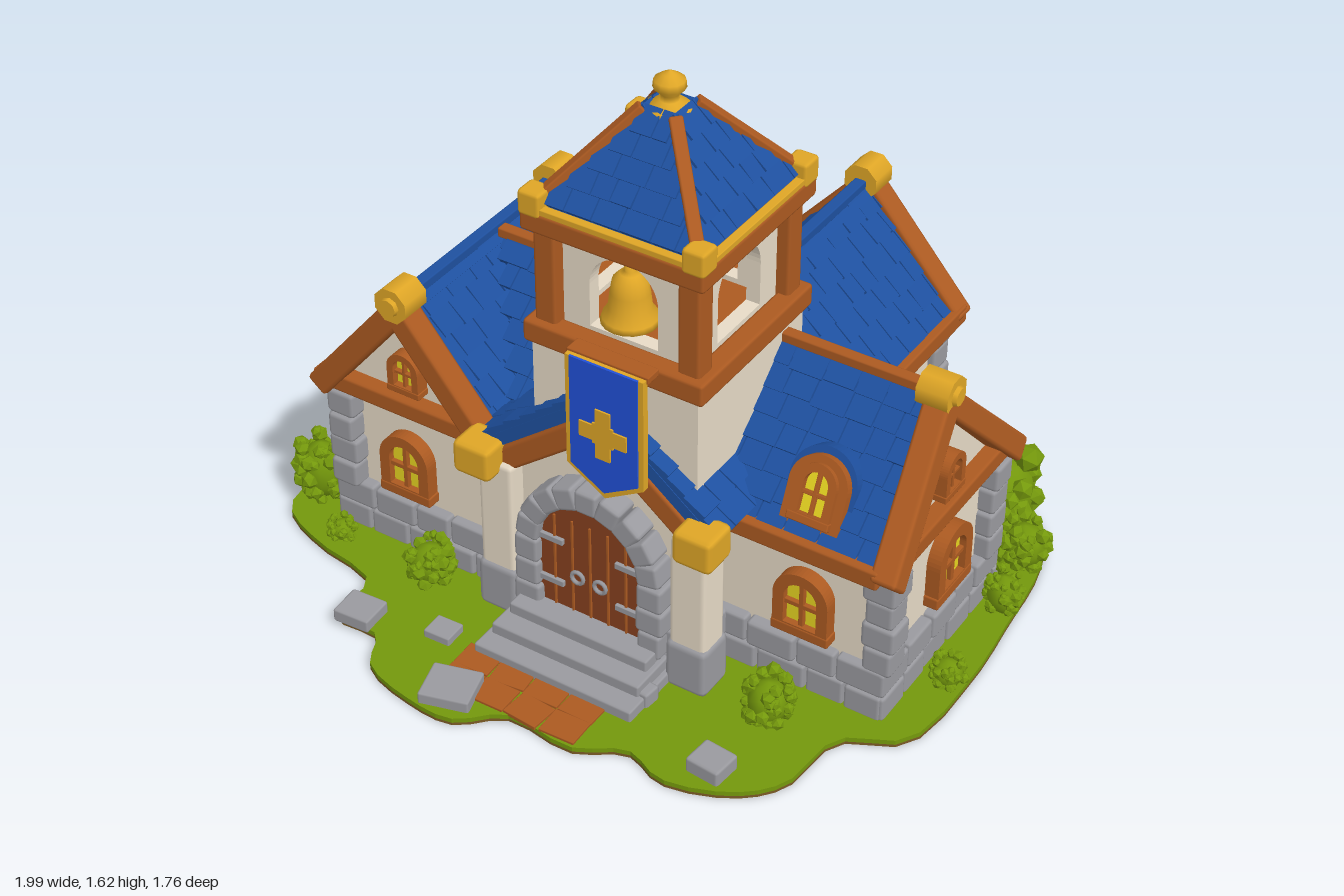
import * as THREE from 'three';
import { mergeGeometries } from 'three/addons/utils/BufferGeometryUtils.js';
import { RoundedBoxGeometry } from 'three/addons/geometries/RoundedBoxGeometry.js';

const M = {};
const colours = {
  roofBlue: 0x1e509f, plaster: 0xf2e5d0, stone: 0x9a9a9f, timber: 0xac5a21, gold: 0xdfa626,
  leaf: 0x74980c, earth: 0x7a5a25, doorWood: 0x87411e, bannerBlue: 0x2151d8, glass: 0xeedb22,
};
for (const [name, color] of Object.entries(colours)) {
  M[name] = new THREE.MeshStandardMaterial({ color });
  M[name].name = name;
}

let seed = 7;
const rnd = (a = 0, b = 1) => {
  seed = (seed * 16807) % 2147483647;
  return a + (b - a) * (seed / 2147483647);
};
const part = (parent, name, geo, mat, x = 0, y = 0, z = 0) => {
  const m = new THREE.Mesh(geo, mat);
  m.name = name;
  m.position.set(x, y, z);
  parent.add(m);
  return m;
};
const box = (w, h, d) => new RoundedBoxGeometry(w, h, d, 1, Math.min(w, h, d) * 0.16);
const group = (parent, name, x = 0, y = 0, z = 0, ry = 0) => {
  const g = new THREE.Group();
  g.name = name;
  g.position.set(x, y, z);
  g.rotation.y = ry;
  parent.add(g);
  return g;
};
const extrude = (shape, depth) => new THREE.ExtrudeGeometry(shape, { depth, bevelEnabled: false, curveSegments: 12 });
const poly = (pts) => new THREE.Shape(pts.map(([x, y]) => new THREE.Vector2(x, y)));

// Round-topped outline standing on y = y0
function arch(w, h, y0 = 0, Type = THREE.Shape) {
  const s = new Type(), r = w / 2;
  s.moveTo(-r, y0);
  s.lineTo(r, y0);
  s.lineTo(r, y0 + h - r);
  s.absarc(0, y0 + h - r, r, 0, Math.PI, false);
  s.lineTo(-r, y0);
  return s;
}
function archRing(w, h, t, depth) {
  const s = arch(w, h);
  s.holes.push(arch(w - 2 * t, h - 2 * t, t, THREE.Path));
  return extrude(s, depth);
}
function windowUnit(parent, x, y, z, w, h, ry = 0) {
  const g = group(parent, 'window', x, y, z, ry), t = w * 0.2;
  part(g, 'windowFrame', archRing(w, h, t, 0.045), M.timber, 0, 0, -0.01);
  part(g, 'windowGlass', new THREE.ShapeGeometry(arch(w - t, h - t, t / 2)), M.glass, 0, 0, 0.015);
  part(g, 'windowMullion', box(w * 0.09, h * 0.9, 0.02), M.timber, 0, h / 2, 0.018);
  part(g, 'windowCrossbar', box(w * 0.8, w * 0.09, 0.02), M.timber, 0, h * 0.48, 0.018);
  part(g, 'windowSill', box(w * 1.05, t, 0.05), M.timber, 0, t * 0.4, 0.012);
}

// Foundation blocks in two courses around a rectangle x = -w..w, z = -len..0
function foundation(g, w, len) {
  const list = [];
  const run = (length, place) => {
    for (let c = 0; c < 2; c++) {
      for (let a = -0.03; a < length + 0.02;) {
        const b = Math.min(a + rnd(0.09, 0.15), length + 0.03);
        list.push(place(box(b - a - 0.004, 0.08, rnd(0.055, 0.075)), (a + b) / 2).translate(0, 0.055 + c * 0.079, 0));
        a = b;
      }
    }
  };
  for (const s of [-1, 1]) run(len, (q, p) => q.rotateY(Math.PI / 2).translate(s * w, 0, -p));
  for (const z of [0, -len]) run(2 * w, (q, p) => q.translate(p - w, 0, z));
  part(g, 'foundationStones', mergeGeometries(list), M.stone);
}
function cornerStones(g, x, z) {
  const list = [];
  for (let i = 0; i < 4; i++) {
    list.push(box(rnd(0.08, 0.1), 0.079, rnd(0.08, 0.1)).translate(x, 0.205 + i * 0.078, z));
  }
  part(g, 'cornerStones', mergeGeometries(list), M.stone);
}

// Gabled wing: gable wall on local z = 0, ridge running to -z
function wing(root, name, x, z, ry, o) {
  const g = group(root, name, x, 0, z, ry);
  const { hw, w, len, eave = 0.52, peak = 0.85, valley = 0, ends = [0], corners = [-1, 1], ridge = M.roofBlue, over = 0.05, rake = 0 } = o;
  const rise = peak - eave, L = Math.hypot(hw, rise), a = Math.atan2(rise, hw);
  const back = ends.length > 1 ? over : 0;
  const wy = eave + rise * (1 - w / hw) - 0.05;
  part(g, 'walls', extrude(poly([[-w, 0.03], [w, 0.03], [w, wy], [0, peak - 0.05], [-w, wy]]), len), M.plaster, 0, 0, -len);
  foundation(g, w, len);
  // Overlapping tile courses, shortened where they run into a valley
  const tiles = [], rows = Math.round(L / 0.07), rh = L / rows;
  for (const s of [-1, 1]) {
    const set = (q, u, n, zc) => tiles.push(q.translate(-s * u, n, zc).rotateZ(-s * a).translate(s * hw, eave, 0));
    for (let r = 0; r < rows; r++) {
      const u = (r + 0.5) * rh, end = -len - back + valley * (1 - u / L), full = over - end;
      set(new THREE.BoxGeometry(rh + 0.004, 0.035, full), u, -0.03, over - full / 2);
      for (let p = over; p > end + 0.01;) {
        const q = Math.max(p - rnd(0.06, 0.115), end);
        set(new THREE.BoxGeometry(rh + 0.016, 0.022, p - q - 0.004).rotateZ(s * rnd(0.07, 0.17)),
          u - rnd(0, 0.008), -0.006, (p + q) / 2);
        p = q;
      }
    }
    const el = len + over + back - valley;
    if (!o.porch) part(g, 'eaveBoard', box(0.045, 0.055, el), M.timber, s * (hw + 0.007), eave - 0.02, over - el / 2);
  }
  part(g, 'roofTiles', mergeGeometries(tiles), M.roofBlue);
  part(g, 'ridgeBoard', box(0.035, 0.03, len + back), ridge, 0, peak, -(len + back) / 2);
  // Gable timbers, leaning back by the rake
  const drop = o.porch ? 0.085 : 0.015;
  const lean = new THREE.Matrix4().makeShear(0, 0, 0, -rake, 0, 0);
  for (const e of ends) {
    const dir = e === 0 ? 1 : -1;
    for (const s of [-1, 1]) {
      const long = o.porch ? L - 0.05 : L + 0.05;
      part(g, 'bargeBoard', box(long, 0.07, 0.075).translate(-s * (L / 2 - 0.01), -drop, 0).rotateZ(-s * a).applyMatrix4(lean),
        M.timber, s * hw, eave, o.porch ? -0.003 : e + dir * 0.03);
    }
    if (!o.porch) {
      const top = e + dir * (0.025 - rake * rise);
      part(g, 'gableBeam', box(2 * w + 0.08, 0.055, 0.06), M.timber, 0, 0.505, e + dir * 0.015);
      part(g, 'gableOrnament', new THREE.CylinderGeometry(0.053, 0.053, 0.09, 8).rotateX(Math.PI / 2).rotateZ(Math.PI / 8),
        M.gold, 0, peak + 0.005, top);
      part(g, 'ornamentBoss', new THREE.CylinderGeometry(0.025, 0.03, 0.02, 8).rotateX(Math.PI / 2), M.gold, 0, peak + 0.005, top + dir * 0.047);
      windowUnit(g, 0, 0.555, e + dir * 0.005, 0.1, 0.125, e === 0 ? 0 : Math.PI);
      for (const s of corners) cornerStones(g, s * (w - 0.018), e + dir * 0.005);
    }
  }
  return g;
}

function buildPorch(root) {
  const g = wing(root, 'porch', 0.085, 0.4, 0, { hw: 0.37, w: 0.28, len: 0.34, eave: 0.55, peak: 0.84, over: 0.03, porch: true });
  for (const s of [-1, 1]) {
    part(g, 'porchPillar', box(0.11, 0.36, 0.1), M.plaster, s * 0.295, 0.33, 0);
    part(g, 'pillarFoot', box(0.125, 0.155, 0.12), M.stone, s * 0.295, 0.0925, 0);
    part(g, 'eaveOrnament', box(0.115, 0.1, 0.11), M.gold, s * 0.335, 0.525, 0.045);
  }
  // Door with arch stones
  part(g, 'door', extrude(arch(0.33, 0.36), 0.045), M.doorWood, 0, 0.11, 0);
  const arcStones = [];
  for (let i = 0; i < 9; i++) {
    const t = Math.PI * (i + 0.5) / 9;
    arcStones.push(box(0.07, 0.069, 0.09).rotateZ(t).translate(Math.cos(t) * 0.187, 0.325 + Math.sin(t) * 0.187, 0.025));
  }
  for (const s of [-1, 1]) for (let i = 0; i < 3; i++) arcStones.push(box(rnd(0.065, 0.085), 0.078, 0.09).translate(s * 0.19, 0.13 + i * 0.077, 0.025));
  part(g, 'doorArch', mergeGeometries(arcStones), M.stone);
  for (const x of [-0.11, -0.055, 0, 0.055, 0.11]) part(g, 'doorGroove', box(0.006, 0.3, 0.008), M.timber, x, 0.27, 0.046);
  for (const s of [-1, 1]) {
    for (const y of [0.2, 0.34]) part(g, 'doorHinge', box(0.075, 0.018, 0.012), M.stone, s * 0.118, y, 0.05);
    part(g, 'doorHandle', new THREE.TorusGeometry(0.018, 0.006, 6, 12), M.stone, s * 0.035, 0.245, 0.055);
  }
  for (let i = 0; i < 3; i++) part(g, 'doorstep', box(0.43 + i * 0.03, 0.04, 0.09 + i * 0.06), M.stone, 0, 0.1 - i * 0.033, 0.07 + i * 0.03);
}

function buildTower(root) {
  const g = group(root, 'bellTower', 0.12, 0, 0.13);
  part(g, 'towerWalls', new THREE.BoxGeometry(0.49, 0.6, 0.5), M.plaster, 0, 0.62, 0);
  part(g, 'towerFloor', box(0.46, 0.05, 0.46), M.timber, 0, 0.925, 0);
  part(g, 'towerCeiling', box(0.44, 0.05, 0.44), M.timber, 0, 1.255, 0);
  const panel = poly([[-0.19, 0.94], [0.19, 0.94], [0.19, 1.25], [-0.19, 1.25]]);
  panel.holes.push(arch(0.2, 0.225, 0.965, THREE.Path));
  const tiles = [];
  for (let i = 0; i < 4; i++) {
    const turn = i * Math.PI / 2, side = group(g, 'towerSide', 0, 0, 0, turn);
    part(side, 'archPanel', extrude(panel, 0.04), M.plaster, 0, 0, 0.165);
    part(side, 'lowerBeam', box(0.53, 0.065, 0.06), M.timber, 0, 0.925, 0.235);
    part(side, 'upperBeam', box(0.53, 0.06, 0.06), M.timber, 0, 1.255, 0.235);
    part(side, 'towerPost', box(0.065, 0.3, 0.065), M.timber, 0.21, 1.09, 0.21);
    part(side, 'eaveEdge', box(0.46, 0.018, 0.025), M.gold, 0, 1.29, 0.25);
    part(side, 'cornerOrnament', box(0.066, 0.07, 0.066), M.gold, 0.235, 1.305, 0.235);
    // Hip timber from eave corner to crown
    const p = new THREE.Vector3(0.225, 1.31, 0.225), q = new THREE.Vector3(0.045, 1.53, 0.045);
    const hip = part(side, 'hipTimber', box(0.035, 0.035, p.distanceTo(q)), M.timber);
    hip.position.copy(p).add(q).multiplyScalar(0.5);
    hip.quaternion.setFromUnitVectors(new THREE.Vector3(0, 0, 1), q.clone().sub(p).normalize());
    // Tile courses narrowing towards the crown
    for (let r = 0; r < 5; r++) {
      const z = 0.212 - r * 0.037, half = z - 0.01;
      for (let x = -half; x < half - 0.01;) {
        const e = Math.min(x + rnd(0.055, 0.1), half);
        tiles.push(new THREE.BoxGeometry(e - x - 0.004, 0.022, 0.075).rotateX(0.87 - rnd(0.07, 0.17))
          .translate((x + e) / 2, 1.328 + r * 0.045, z).rotateY(turn));
        x = e;
      }
    }
  }
  part(g, 'towerRoofTiles', mergeGeometries(tiles), M.roofBlue);
  const core = new THREE.CylinderGeometry(0.05, 0.325, 0.235, 4).toNonIndexed().rotateY(Math.PI / 4);
  core.computeVertexNormals();
  part(g, 'towerRoof', core, M.roofBlue, 0, 1.4, 0);
  const lathe = (pts, n) => new THREE.LatheGeometry(pts.map(([x, y]) => new THREE.Vector2(x, y)), n);
  part(g, 'finial', lathe([[0, 1.5], [0.06, 1.5], [0.06, 1.53], [0.025, 1.545], [0.022, 1.56], [0.042, 1.58], [0.04, 1.6], [0.018, 1.615], [0, 1.625]], 12), M.gold);
  // Bell in the front arch
  part(g, 'bell', lathe([[0, 1], [0.06, 1], [0.076, 1.005], [0.072, 1.02], [0.056, 1.045], [0.051, 1.09], [0.045, 1.125], [0.026, 1.145], [0.014, 1.15], [0.016, 1.175], [0, 1.185]], 18), M.gold, 0, 0, 0.175);
  part(g, 'bellClapper', new THREE.SphereGeometry(0.017, 10, 8), M.gold, 0, 0.992, 0.175);
}

function buildBanner(root) {
  const g = group(root, 'banner', 0.14, 0, 0.435);
  const outline = (w, top, side, tip) => poly([[-w, top], [-w, side], [0, tip], [w, side], [w, top]]);
  part(g, 'bannerBorder', extrude(outline(0.115, 0.955, 0.62, 0.55), 0.02), M.gold);
  part(g, 'bannerCloth', extrude(outline(0.1, 0.957, 0.628, 0.569), 0.007), M.bannerBlue, 0, 0, 0.018);
  // Four-lobed cross
  for (const [w, h] of [[0.044, 0.15], [0.14, 0.046], [0.062, 0.062]]) part(g, 'crossBar', new THREE.BoxGeometry(w, h, 0.006), M.gold, 0, 0.752, 0.027);
  part(g, 'bannerRod', box(0.24, 0.02, 0.05), M.timber, 0, 0.952, -0.02);
}

function buildDormer(root) {
  const g = group(root, 'dormer', 0.62, 0.53, 0.25);
  g.rotation.x = -0.42;
  part(g, 'dormerBody', extrude(arch(0.19, 0.215), 0.2), M.roofBlue, 0, 0, -0.2);
  part(g, 'dormerArch', archRing(0.165, 0.195, 0.03, 0.035), M.timber, 0, 0, -0.01);
  windowUnit(g, 0, 0.015, 0.005, 0.115, 0.16);
}

function buildGarden(root) {
  const outline = [[0.2, -0.88], [0.35, -0.87], [0.45, -0.78], [0.6, -0.78], [0.75, -0.73], [0.88, -0.62], [0.94, -0.45],
    [0.96, -0.25], [0.98, 0], [0.95, 0.3], [0.8, 0.4], [0.77, 0.6], [0.68, 0.7], [0.5, 0.76], [0.38, 0.72], [0.25, 0.79], [0.05, 0.78],
    [-0.06, 0.87], [-0.2, 0.87], [-0.36, 0.82], [-0.42, 0.72], [-0.56, 0.71], [-0.57, 0.56], [-0.8, 0.5], [-0.95, 0.42], [-0.96, 0.25],
    [-0.9, 0.1], [-0.92, -0.1], [-0.93, -0.3], [-0.85, -0.4], [-0.6, -0.46], [-0.4, -0.6], [-0.2, -0.78], [0, -0.83]];
  const curve = new THREE.CatmullRomCurve3(outline.map(([x, z]) => new THREE.Vector3(x, z, 0)), true);
  const shape = poly(curve.getPoints(100).slice(0, -1).map((p) => [p.x, p.y]));
  part(root, 'grass', extrude(shape, 0.014).rotateX(Math.PI / 2), M.leaf, 0, 0.022, 0);
  part(root, 'soil', extrude(shape, 0.008).rotateX(Math.PI / 2), M.earth, 0, 0.008, 0);
  // Bushes as x, z, radius, height
  const bushes = [[-0.91, 0.32, 0.085, 0.23], [-0.9, 0.08, 0.065, 0.13], [-0.9, -0.28, 0.075, 0.18], [-0.44, 0.45, 0.075, 0.15],
    [0.61, 0.42, 0.075, 0.16], [0.93, 0.05, 0.055, 0.1], [0.92, -0.28, 0.06, 0.15], [0.73, -0.6, 0.145, 0.28], [0.88, -0.48, 0.08, 0.17],
    [0.23, -0.83, 0.05, 0.08], [-0.58, -0.42, 0.07, 0.1], [-0.35, -0.45, 0.05, 0.08], [-0.75, 0.44, 0.045, 0.08]];
  for (const [x, z, r, h] of bushes) {
    const blobs = [new THREE.IcosahedronGeometry(1, 1).scale(r * 0.75, h * 0.4, r * 0.75).translate(x, h * 0.45, z)];
    for (let i = 0; i < 60; i++) {
      const t = rnd(0, 6.28), v = rnd(0.05, 0.92), b = r * rnd(0.18, 0.3);
      const d = r * 0.82 * Math.sqrt(1 - (v * 2 - 1) ** 2 * 0.85) * rnd(0.85, 1);
      blobs.push(new THREE.IcosahedronGeometry(b, 0).rotateX(rnd(0, 3)).rotateZ(rnd(0, 3))
        .translate(x + Math.cos(t) * d, Math.max(b + 0.005, v * h), z + Math.sin(t) * d));
    }
    part(root, 'bush', mergeGeometries(blobs), M.leaf);
  }
  for (const [x, z, s, h] of [[-0.5, 0.68, 0.11, 0.04], [-0.27, 0.62, 0.08, 0.03], [-0.12, 0.79, 0.14, 0.04], [0.59, 0.66, 0.1, 0.05], [0.31, 0.54, 0.06, 0.05]]) {
    part(root, 'gardenStone', box(s, h, s * 0.9), M.stone, x, 0.015 + h / 2, z).rotation.y = rnd(-0.3, 0.3);
  }
  for (let i = 0; i < 8; i++) {
    part(root, 'pathSlab', box(0.105, 0.012, 0.085), M.timber, -0.13 + (i % 4) * 0.11, 0.023, 0.655 + Math.floor(i / 4) * 0.085).rotation.y = rnd(-0.15, 0.15);
  }
}

export function createModel() {
  const root = new THREE.Group();
  root.name = 'chapel';
  buildGarden(root);
  const left = wing(root, 'frontGableWing', -0.545, 0.35, 0, { hw: 0.27, w: 0.235, len: 0.66, ends: [0, -0.66], corners: [-1] });
  windowUnit(left, -0.015, 0.2, 0.005, 0.16, 0.2);
  const side = wing(root, 'sideWing', 0.83, -0.035, Math.PI / 2, { hw: 0.325, w: 0.29, len: 1.35, valley: 0.27, ridge: M.timber, over: 0.015, rake: 0.14 });
  windowUnit(side, 0.04, 0.205, 0.005, 0.18, 0.21);
  windowUnit(side, -0.295, 0.2, -0.21, 0.16, 0.2, -Math.PI / 2);
  const back = wing(root, 'backWing', 0.175, -0.775, Math.PI, { hw: 0.29, w: 0.25, len: 0.72 });
  windowUnit(back, 0, 0.2, 0.005, 0.19, 0.23);
  for (const s of [-1, 1]) windowUnit(back, s * 0.255, 0.2, -0.25, 0.2, 0.235, s * Math.PI / 2);
  buildPorch(root);
  buildTower(root);
  buildBanner(root);
  buildDormer(root);
  return root;
}
